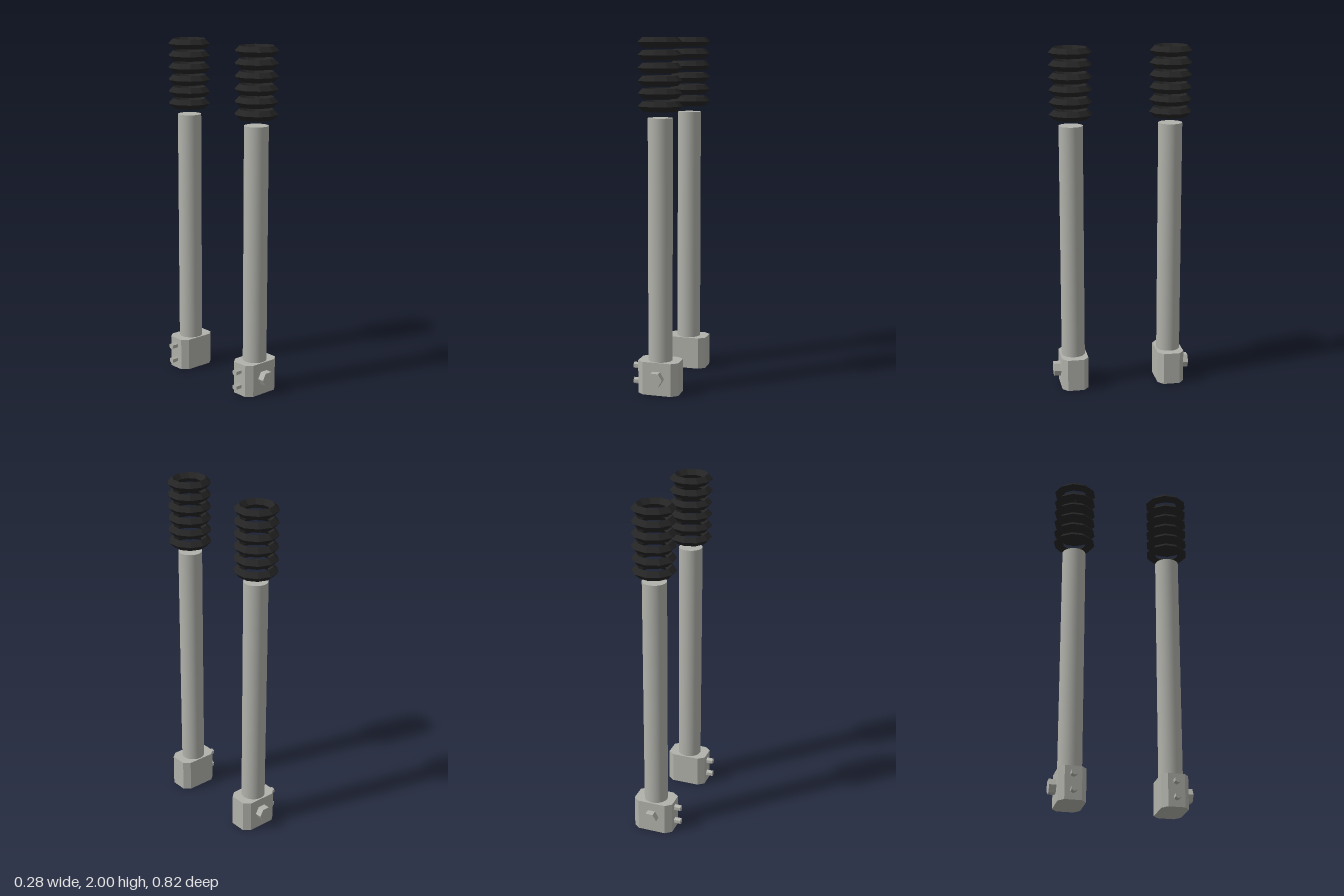
import * as THREE from 'three';

const steel = new THREE.MeshStandardMaterial({ color: 0xb2b2ac });
steel.name = 'light grey metal';
const rubber = new THREE.MeshStandardMaterial({ color: 0x242424 });
rubber.name = 'black rubber';

function add(parent, name, geometry, material, x = 0, y = 0, z = 0) {
  const mesh = new THREE.Mesh(geometry, material);
  mesh.name = name;
  mesh.position.set(x, y, z);
  parent.add(mesh);
  return mesh;
}

// Block with chamfered upright corners, standing on y = 0
function clampGeometry(hx, hz, cx, cz, height) {
  const points = [
    [hx, -hz + cz], [hx, hz - cz], [hx - cx, hz], [-hx + cx, hz],
    [-hx, hz - cz], [-hx, -hz + cz], [-hx + cx, -hz], [hx - cx, -hz],
  ].map(([x, y]) => new THREE.Vector2(x, y));
  const geometry = new THREE.ExtrudeGeometry(new THREE.Shape(points), { depth: height, bevelEnabled: false });
  return geometry.rotateX(-Math.PI / 2);
}

// Six-sided bolt head built with flat normals
function hexBolt(radius, length) {
  return new THREE.CylinderGeometry(radius, radius, length, 6).toNonIndexed();
}

function createPost(side) {
  const post = new THREE.Group();

  add(post, 'clamp', clampGeometry(0.118, 0.078, 0.036, 0.03, 0.19), steel);
  add(post, 'tube', new THREE.CylinderGeometry(0.069, 0.069, 1.37, 24), steel, 0, 0.875, 0);

  // Large bolt on the outward face
  const large = hexBolt(0.044, 0.05);
  large.rotateY(Math.PI / 2).rotateX(Math.PI / 2);
  large.computeVertexNormals();
  add(post, 'largeBolt', large, steel, 0, 0.1, side * 0.093);

  // Two small bolts on the right side
  for (const y of [0.055, 0.145]) {
    const small = hexBolt(0.019, 0.05);
    small.rotateY(Math.PI / 2).rotateZ(Math.PI / 2);
    small.computeVertexNormals();
    add(post, 'smallBolt', small, steel, -0.132, y, 0);
  }

  // Stack of separate diamond-section rings
  const ring = new THREE.TorusGeometry(0.096, 0.028, 4, 10);
  ring.rotateX(Math.PI / 2).rotateY(Math.PI / 2);
  const flatRing = ring.toNonIndexed();
  flatRing.computeVertexNormals();
  for (let i = 0; i < 6; i++) add(post, 'bellowsRing', flatRing, rubber, 0, 1.972 - i * 0.0695, 0);

  return post;
}

export function createModel() {
  const model = new THREE.Group();
  model.name = 'forkTubes';
  for (const side of [1, -1]) {
    const post = createPost(side);
    post.name = side > 0 ? 'frontPost' : 'backPost';
    post.position.set(0.0175, 0, side * 0.287);
    model.add(post);
  }
  return model;
}
